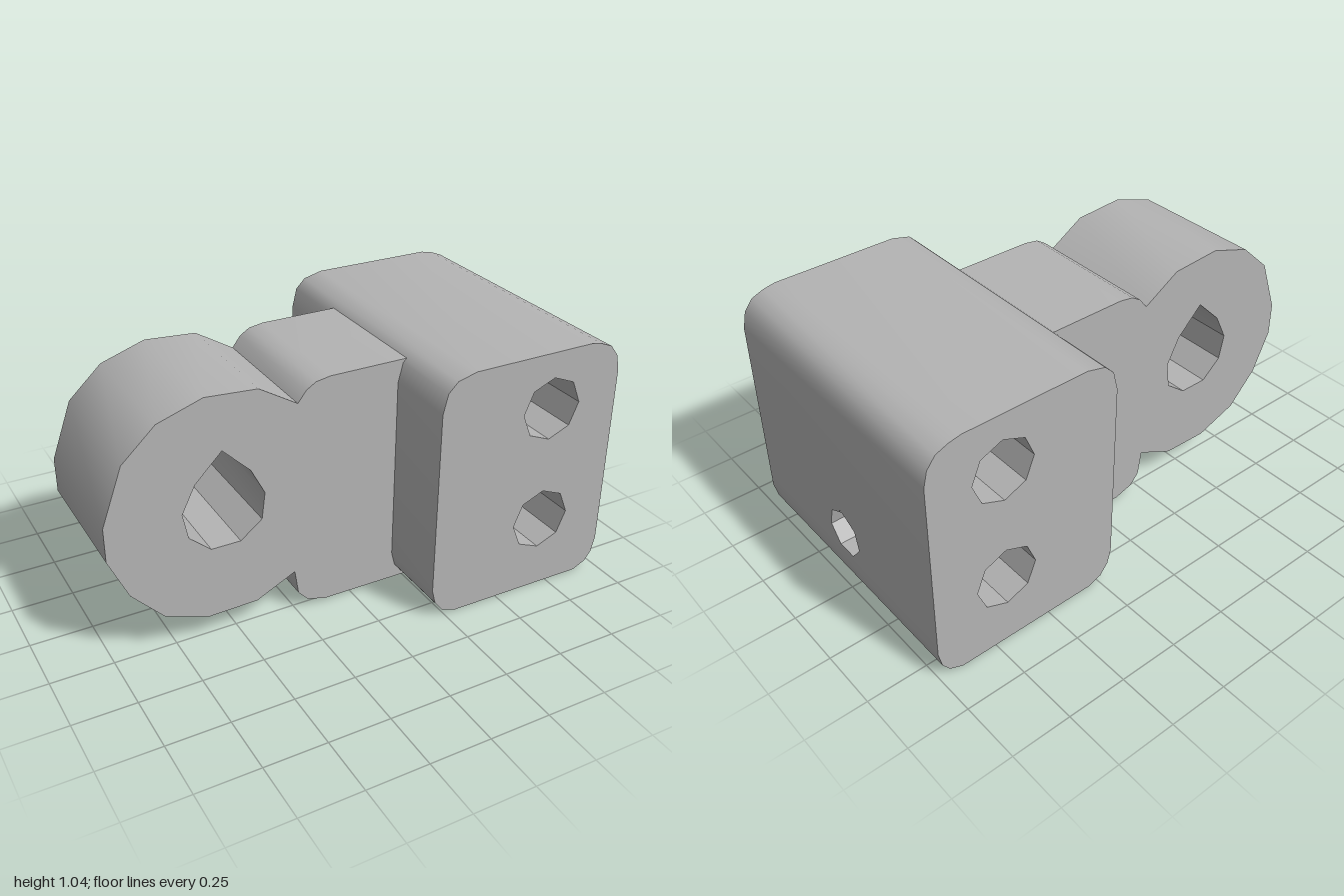
import * as THREE from 'three';
import { toCreasedNormals } from 'three/addons/utils/BufferGeometryUtils.js';

const grey = new THREE.MeshStandardMaterial({ color: 0xb4b4b4, side: THREE.DoubleSide });
grey.name = 'plain grey';

const mesh = (name, geometry) => {
  const m = new THREE.Mesh(geometry, grey);
  m.name = name;
  return m;
};

// Mesh from a list of four-cornered faces
function quadMesh(name, quads) {
  const pos = [];
  for (const [a, b, c, d] of quads) pos.push(...a, ...b, ...c, ...a, ...c, ...d);
  const g = new THREE.BufferGeometry();
  g.setAttribute('position', new THREE.Float32BufferAttribute(pos, 3));
  return mesh(name, toCreasedNormals(g, 0.6));
}

// Add points where a polyline crosses the given x (axis 0) or y (axis 1) values
function insert(line, axis, keys) {
  const out = [];
  line.forEach((a, i) => {
    out.push(a);
    const b = line[i + 1];
    if (!b) return;
    keys.map(k => (k - a[axis]) / (b[axis] - a[axis]))
      .filter(t => t > 1e-4 && t < 1 - 1e-4).sort((s, t) => s - t)
      .forEach(t => out.push([a[0] + (b[0] - a[0]) * t, a[1] + (b[1] - a[1]) * t]));
  });
  return out;
}

// Outer or hole wall of half depth z; a cross bore leaves a gap of half width bore.half
function strip(points, z, bore) {
  const quads = [];
  points.forEach((a, i) => {
    const b = points[(i + 1) % points.length];
    const band = (a0, a1, b0, b1) => quads.push([[...a, a0], [...b, b0], [...b, b1], [...a, a1]]);
    if (bore && bore.cuts(a, b)) {
      band(-z, -bore.half(a), -z, -bore.half(b));
      band(bore.half(a), z, bore.half(b), z);
    } else band(-z, z, -z, z);
  });
  return quads;
}

// Inside walls of a bore, running from its mouth to deep(p)
function boreWalls(points, bore, deep) {
  const quads = [];
  for (let i = 0; i < points.length - 1; i++) {
    const a = points[i], b = points[i + 1];
    if (!bore.cuts(a, b)) continue;
    for (const s of [-1, 1]) {
      const ha = s * bore.half(a), hb = s * bore.half(b);
      const q = [[...a, ha], [...b, hb], [...deep(b), hb], [...deep(a), ha]];
      quads.push(s > 0 ? q : q.reverse());
    }
  }
  return quads;
}

// Flat front and back faces with holes
function endFaces(group, outline, holes, z) {
  const vec = l => l.map(p => new THREE.Vector2(...p));
  const shape = new THREE.Shape(vec(outline));
  holes.forEach(h => shape.holes.push(new THREE.Path(vec(h))));
  const front = mesh('frontFace', new THREE.ShapeGeometry(shape));
  front.position.z = z;
  const back = mesh('backFace', new THREE.ShapeGeometry(shape));
  back.geometry.scale(1, 1, -1);
  back.geometry.index.array.reverse();
  back.geometry.computeVertexNormals();
  back.position.z = -z;
  group.add(front, back);
}

function makeBlock() {
  const g = new THREE.Group();
  g.name = 'clampBlock';
  const Z = 0.585;
  const side = [[1, 0.13], [1, 0.9]];
  const rest = [[0.985, 0.965], [0.95, 1.01], [0.9, 1.03], [0.85, 1.04], [0.33, 1.04],
    [0.25, 1.02], [0.21, 0.98], [0.19, 0.9], [0.19, 0.13], [0.205, 0.07], [0.24, 0.025],
    [0.3, 0.003], [0.9, 0], [0.955, 0.025], [0.985, 0.065]];
  const octagon = cy => Array.from({ length: 8 }, (_, i) => {
    const a = -Math.PI / 2 + i * Math.PI / 4;
    return [0.69 + 0.13 * Math.cos(a), cy + 0.13 * Math.sin(a)];
  });
  const upper = octagon(0.805), lower = octagon(0.313);

  // Seven-sided bore from the side into the lower hole
  const ys = [0.197, 0.265, 0.347, 0.387], hs = [0.044, 0.097, 0.078, 0];
  const bore = {
    cuts: (a, b) => { const m = (a[1] + b[1]) / 2; return a[0] > 0.685 && b[0] > 0.685 && m > ys[0] && m < ys[3]; },
    half: p => {
      for (let i = 0; i < 3; i++) if (p[1] <= ys[i + 1] + 1e-6) {
        return hs[i] + (hs[i + 1] - hs[i]) * Math.max(0, (p[1] - ys[i]) / (ys[i + 1] - ys[i]));
      }
      return 0;
    },
  };
  const innerSide = insert(lower.slice(0, 5), 1, ys);
  const innerLoop = [...innerSide, ...lower.slice(5)].reverse();
  const mouth = insert(side, 1, [...ys, ...innerSide.map(p => p[1])]);
  const innerAt = p => innerSide.reduce((best, q) =>
    Math.abs(q[1] - p[1]) < Math.abs(best[1] - p[1]) ? q : best);

  endFaces(g, [...side, ...rest], [upper, lower], Z);
  g.add(quadMesh('blockSides', strip([...mouth, ...rest], Z, bore)));
  g.add(quadMesh('upperHole', strip([...upper].reverse(), Z)));
  g.add(quadMesh('lowerHole', strip(innerLoop, Z, bore)));
  const xi = innerAt([0, ys[0]])[0];
  const floor = [[xi, ys[0], hs[0]], [1, ys[0], hs[0]], [1, ys[0], -hs[0]], [xi, ys[0], -hs[0]]];
  g.add(quadMesh('sideBore', [...boreWalls(mouth, bore, innerAt), floor]));
  return g;
}

function makeEye() {
  const g = new THREE.Group();
  g.name = 'eyeAndNeck';
  const Z = 0.282;
  const under = [[-0.62, 0.1], [-0.42, 0.105], [-0.255, 0.185], [-0.24, 0.08], [-0.2, 0.035],
    [-0.12, 0.012], [0.4, 0.01]];
  const rest = [[0.4, 0.995], [-0.1, 0.995], [-0.16, 0.985], [-0.2, 0.96], [-0.235, 0.915],
    [-0.39, 1.01], [-0.6, 1.025], [-0.78, 0.965], [-0.915, 0.84], [-1, 0.61], [-1, 0.47],
    [-0.925, 0.3], [-0.8, 0.165]];
  // Teardrop eye hole
  const hole = [[-0.54, 0.8], [-0.43, 0.69], [-0.375, 0.58], [-0.39, 0.47], [-0.48, 0.4],
    [-0.6, 0.4], [-0.685, 0.475], [-0.705, 0.58], [-0.65, 0.69]];

  // Round bore rising into the neck from below
  const C = -0.16, R = 0.17, TOP = 0.4;
  const bore = {
    cuts: (a, b) => a[1] < 0.3 && b[1] < 0.3 && Math.abs((a[0] + b[0]) / 2 - C) < R,
    half: p => Math.sqrt(Math.max(0, R * R - (p[0] - C) ** 2)),
  };
  const keys = Array.from({ length: 9 }, (_, i) => C - R * Math.cos(i * Math.PI / 8));
  const mouth = insert(under, 0, keys);

  endFaces(g, [...under, ...rest], [hole], Z);
  g.add(quadMesh('eyeSides', strip([...mouth, ...rest], Z, bore)));
  g.add(quadMesh('eyeHole', strip([...hole], Z)));
  g.add(quadMesh('neckBore', boreWalls(mouth, bore, p => [p[0], TOP])));
  const cap = mesh('neckBoreEnd', new THREE.CircleGeometry(R, 16));
  cap.rotation.x = Math.PI / 2;
  cap.position.set(C, TOP, 0);
  g.add(cap);
  return g;
}

export function createModel() {
  const model = new THREE.Group();
  model.name = 'eyeBracket';
  model.add(makeBlock(), makeEye());
  return model;
}
